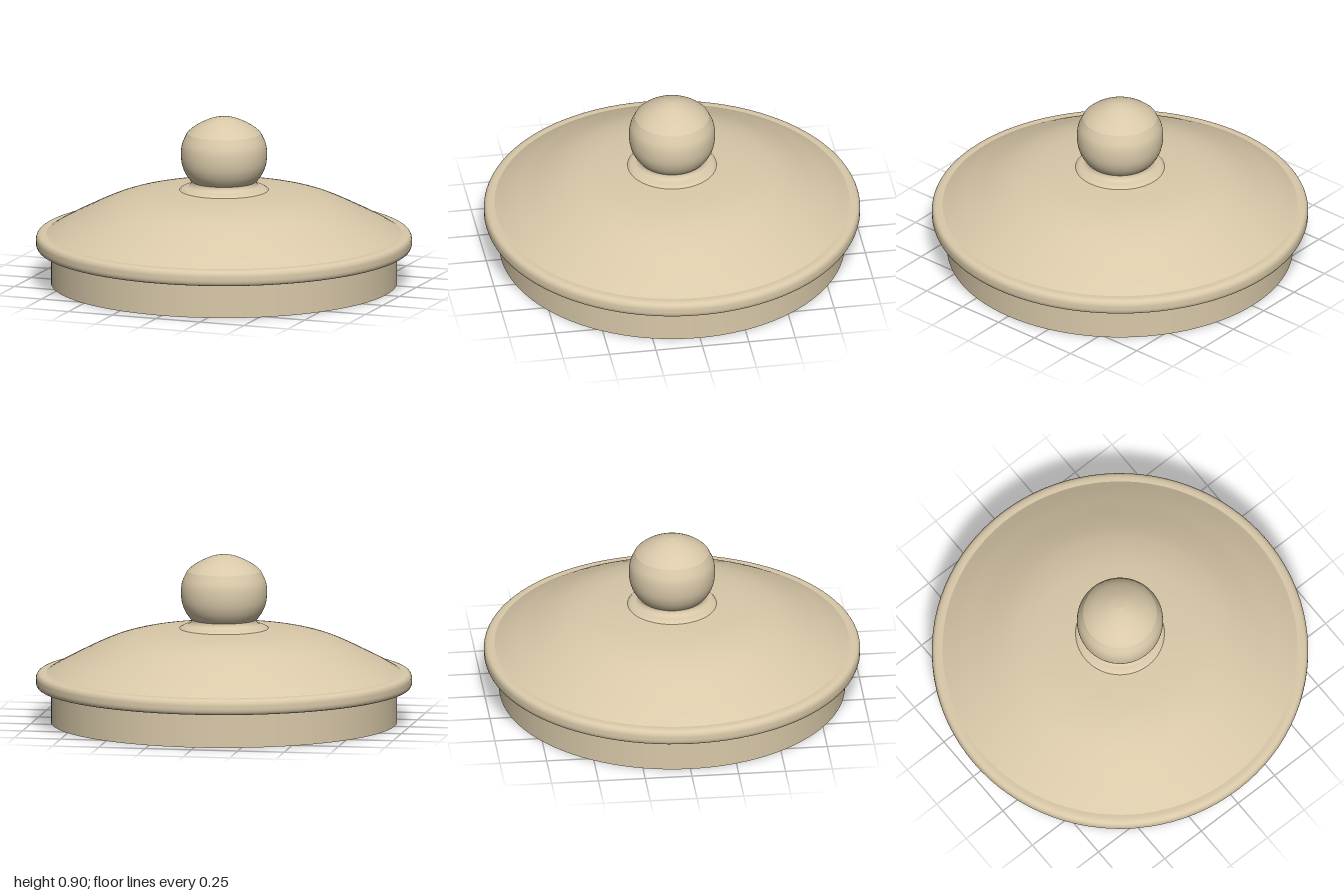
import * as THREE from 'three';

export function createModel() {
  const group = new THREE.Group();
  group.name = 'lid';
  const ceramic = new THREE.MeshStandardMaterial({ color: 0xd9c9a9 });
  ceramic.name = 'cream ceramic';

  const points = (list) => list.map(([r, y]) => new THREE.Vector2(r, y));
  const smooth = (list, n) => new THREE.SplineCurve(points(list)).getPoints(n)
    .map((p) => new THREE.Vector2(Math.max(0, p.x), p.y));
  // Profiles run upward for surfaces facing outward, downward for those facing inward.
  const turn = (name, profile) => {
    const mesh = new THREE.Mesh(new THREE.LatheGeometry(profile, 96), ceramic);
    mesh.name = name;
    group.add(mesh);
  };

  // Skirt that drops inside the pot
  turn('skirtOutside', points([[0.92, 0], [0.92, 0.19]]));
  turn('skirtBottomEdge', points([[0.912, 0], [0.92, 0]]));
  turn('skirtInside', points([[0.912, 0.275], [0.912, 0]]));

  // Rounded rim
  turn('rimUnderside', points([[0.91, 0.185], [0.975, 0.185]]));
  turn('rim', smooth([[0.975, 0.185], [0.991, 0.191], [0.999, 0.207], [1, 0.228],
    [0.998, 0.247], [0.988, 0.263], [0.968, 0.27], [0.94, 0.27]], 28));

  // Dome, and its underside seen from below
  const dome = [[0.95, 0.266], [0.86, 0.318], [0.765, 0.367], [0.67, 0.414],
    [0.577, 0.452], [0.47, 0.48], [0.36, 0.495], [0.23, 0.505]];
  turn('dome', smooth(dome, 40));
  const under = [[0.912, 0.274], ...dome.slice(1).map(([r, y]) => [r, y - 0.014]), [0, 0.497]];
  turn('domeUnderside', smooth(under, 40).reverse());

  // Stepped collar under the knob
  turn('collarStep', points([[0.24, 0.5], [0.232, 0.51], [0.215, 0.519], [0.19, 0.522]]));
  turn('collarNeck', smooth([[0.205, 0.519], [0.187, 0.526], [0.176, 0.538], [0.172, 0.552]], 12));

  // Ball knob with a low crown
  turn('knob', smooth([[0.168, 0.548], [0.186, 0.566], [0.208, 0.6], [0.224, 0.645],
    [0.229, 0.7], [0.222, 0.755], [0.196, 0.812]], 30));
  turn('knobCrown', smooth([[0.196, 0.812], [0.165, 0.839], [0.12, 0.866],
    [0.06, 0.891], [0, 0.902]], 20));

  return group;
}
